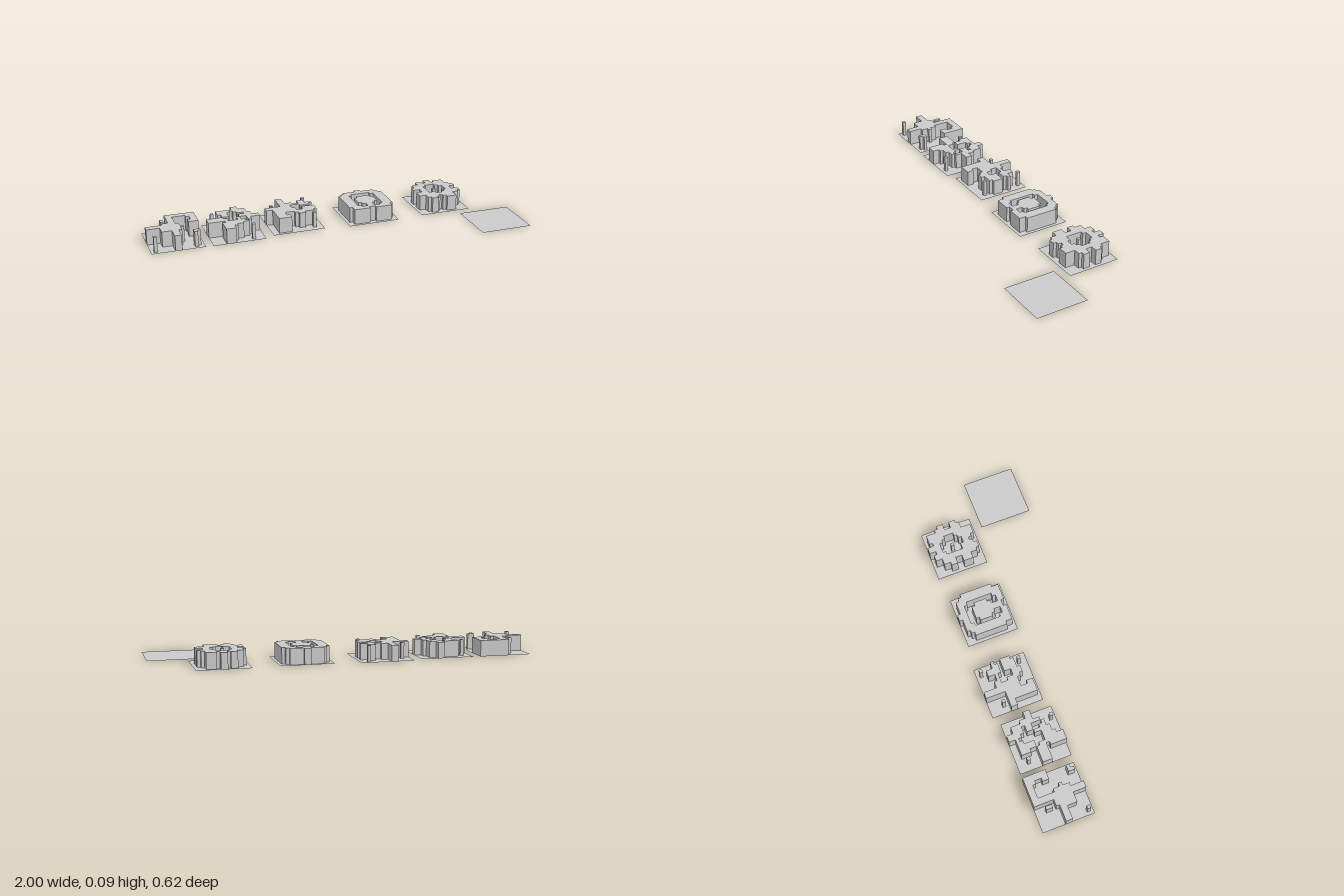
import * as THREE from 'three';

const SIZE = 0.285, N = 16, CELL = SIZE / N, HEIGHT = 0.085;

// Plans of the tiles, back row first: # is raised, . is floor
const PLANS = {
  forkTile: `
.......#########
.......#########
.......##....###
.....#.##.....##
.....#.##.....##
.......##....###
.....####....###
##########......
##########......
....#######.....
....######......
....######......
.......##.......
.......##....##.
.#.....##....#..
.......##.......`,
  scatteredTile: `
.........##.....
.........##.....
....#########...
..#.####.####...
....###...###...
.....##.....##..
.....##...####..
#####.....######
######...#..####
######...#..#...
.....######.#...
....########....
....######......
....####........
....###.....#...
....###.........`,
  branchingTile: `
.....##.........
.....##......#..
.....##.........
.....##....##...
..#..####..##...
.....##########.
########...###..
########........
..#######..####.
..#######..####.
..#############.
..###...######..
..###....##.....
..####.......#..
..####..........
................`,
  courtyardTile: `
.......##.......
...##########...
..############..
.####......####.
.###........###.
.###..####..###.
.###.######.###.
.###.######.###.
.###.######.###.
.###.######.###.
.###..####..###.
.###...##...###.
.####..##..####.
..############..
..#####..#####..
................`,
  ringTile: `
.......##.......
....##.##.###...
....#########...
..###########...
..####...#####..
.####.....#####.
.####......####.
...##..#...##...
...##......##...
.####.....#####.
.######..######.
.#############..
...#########....
...####.####....
....##...###....
................`,
};

// Tile centres on the ground (x, z)
const CENTRES = {
  forkTile: [-0.857, -0.147],
  scatteredTile: [-0.533, -0.143],
  branchingTile: [-0.2, -0.169],
  courtyardTile: [0.22, -0.148],
  ringTile: [0.648, -0.163],
};

const material = new THREE.MeshStandardMaterial({ color: 0xcccccc, flatShading: true, side: THREE.DoubleSide });

// One open sheet: floor and roof strips joined by vertical walls
function sheetGeometry(plan) {
  const rows = plan.trim().split('\n');
  const high = (c, r) => rows[r]?.[c] === '#';
  const at = (i) => i * CELL - SIZE / 2;
  const pos = [];
  const quad = (a, b, c, d) => pos.push(...a, ...b, ...c, ...a, ...c, ...d);
  const wall = (x0, z0, x1, z1) =>
    quad([x0, 0, z0], [x1, 0, z1], [x1, HEIGHT, z1], [x0, HEIGHT, z0]);

  for (let r = 0; r < N; r++) {
    const z0 = at(r), z1 = at(r + 1);
    // Horizontal strips of equal height
    for (let c = 0; c < N;) {
      let end = c + 1;
      while (end < N && high(end, r) === high(c, r)) end++;
      const y = high(c, r) ? HEIGHT : 0, x0 = at(c), x1 = at(end);
      quad([x0, y, z1], [x1, y, z1], [x1, y, z0], [x0, y, z0]);
      c = end;
    }
    // Walls on every exposed side of a raised cell, facing outwards
    for (let c = 0; c < N; c++) {
      if (!high(c, r)) continue;
      const x0 = at(c), x1 = at(c + 1);
      if (!high(c, r + 1)) wall(x0, z1, x1, z1);
      if (!high(c, r - 1)) wall(x1, z0, x0, z0);
      if (!high(c + 1, r)) wall(x1, z1, x1, z0);
      if (!high(c - 1, r)) wall(x0, z0, x0, z1);
    }
  }
  const geometry = new THREE.BufferGeometry();
  geometry.setAttribute('position', new THREE.Float32BufferAttribute(pos, 3));
  geometry.computeVertexNormals();
  return geometry;
}

export function createModel() {
  const group = new THREE.Group();
  group.name = 'mazeTileSet';

  const add = (name, geometry, x, z) => {
    const mesh = new THREE.Mesh(geometry, material);
    mesh.name = name;
    mesh.position.set(x, 0, z);
    group.add(mesh);
  };

  // Row of raised maze tiles
  for (const [name, plan] of Object.entries(PLANS)) add(name, sheetGeometry(plan), ...CENTRES[name]);

  // Plain flat tile in front
  add('flatTile', new THREE.PlaneGeometry(SIZE, SIZE).rotateX(-Math.PI / 2), 0.857, 0.169);
  return group;
}
